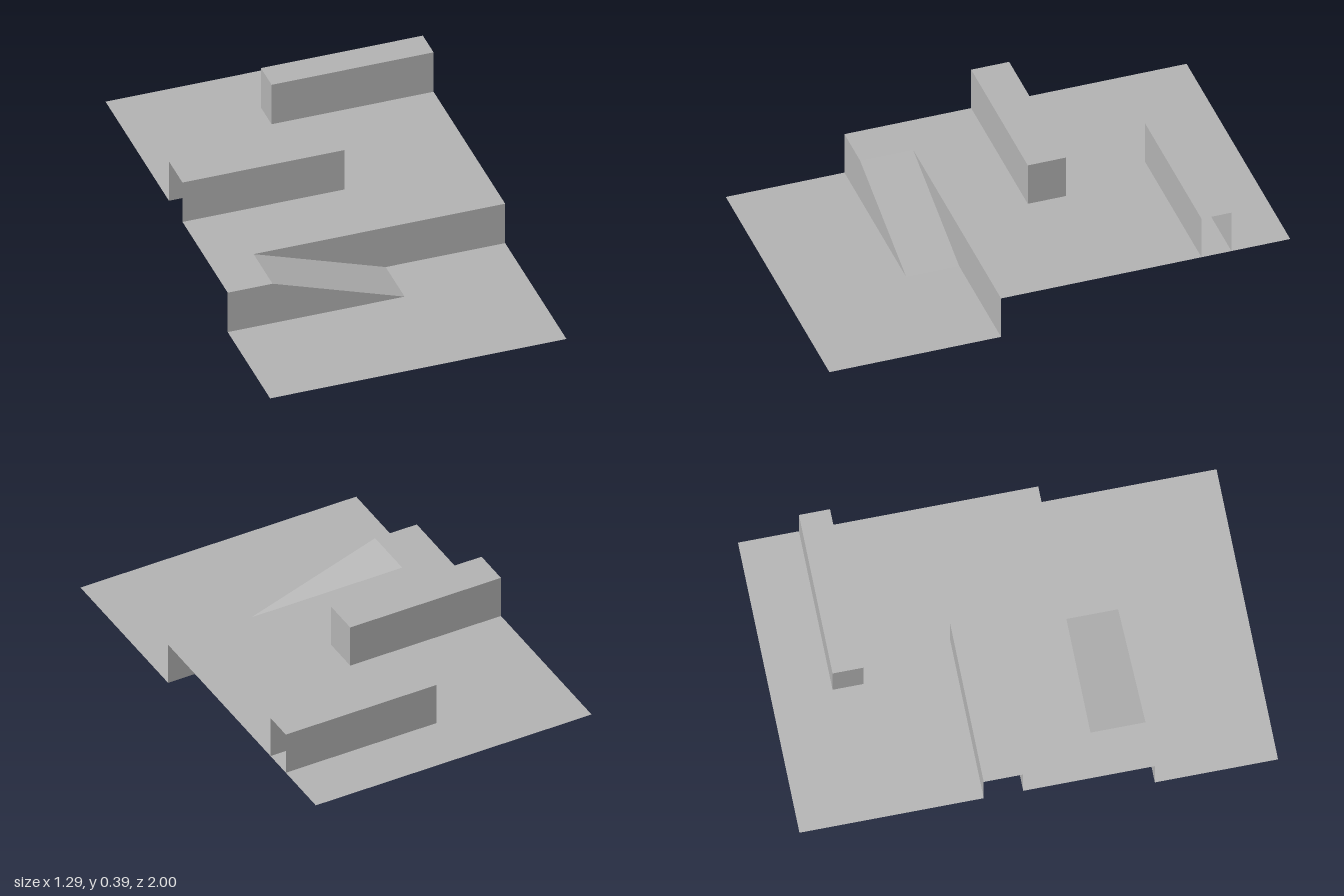
import * as THREE from 'three';

export function createModel() {
  const model = new THREE.Group();
  const grey = new THREE.MeshStandardMaterial({ color: 0xb2b2b2, side: THREE.DoubleSide });
  grey.name = 'plainGrey';

  const W = 0.645, STEP = 0.195, TOP = 0.39;        // half width, upper level, barrier top
  const rampTop = -0.45, rampFoot = 0.125;          // ramp ends in x
  const back = 0.255, front = 0.485;                // ramp sides in z

  const outline = (points) => new THREE.ShapeGeometry(
    new THREE.Shape(points.map(([a, b]) => new THREE.Vector2(a, b))));
  function add(name, geometry, parent = model) {
    const mesh = new THREE.Mesh(geometry, grey);
    mesh.name = name;
    parent.add(mesh);
  }
  // horizontal sheet from [x, z] corners
  const sheet = (name, y, points, parent) => add(name,
    outline(points.map(([x, z]) => [x, -z]).reverse()).rotateX(-Math.PI / 2).translate(0, y, 0), parent);
  // upright sheet facing front from [x, y] corners
  const wall = (name, z, points, parent) => add(name, outline(points).translate(0, 0, z), parent);

  // open-bottomed barrier with one closed end, open at the sheet's edge
  function barrier(name, outerX, endX, z0, z1) {
    const group = new THREE.Group();
    group.name = name;
    model.add(group);
    const face = [[outerX, STEP], [endX, STEP], [endX, TOP], [outerX, TOP]];
    wall('barrierBack', z0, face, group);
    wall('barrierFront', z1, face, group);
    sheet('barrierTop', TOP, [[outerX, z0], [endX, z0], [endX, z1], [outerX, z1]], group);
    const end = new THREE.PlaneGeometry(z1 - z0, TOP - STEP)
      .rotateY(Math.sign(endX - outerX) * Math.PI / 2)
      .translate(endX, (STEP + TOP) / 2, (z0 + z1) / 2);
    add('barrierEnd', end, group);
  }

  // upper floor with the slot below the middle barrier and the landing
  sheet('upperFloor', STEP, [
    [-W, -1], [W, -1], [W, back], [rampTop, back], [rampTop, front], [-W, front],
    [-W, -0.065], [0.06, -0.065], [0.06, -0.23], [-W, -0.23],
  ]);
  // lower floor
  sheet('lowerFloor', 0, [
    [-W, 1], [W, 1], [W, back], [rampFoot, back], [rampFoot, front], [-W, front],
  ]);

  // sloping ramp
  const length = Math.hypot(rampFoot - rampTop, STEP);
  add('ramp', new THREE.PlaneGeometry(length, front - back)
    .rotateX(-Math.PI / 2)
    .rotateZ(-Math.atan2(STEP, rampFoot - rampTop))
    .translate((rampTop + rampFoot) / 2, STEP / 2, (front + back) / 2));

  // retaining walls on both sides of the ramp
  wall('rampFrontWall', front, [[-W, 0], [rampFoot, 0], [rampTop, STEP], [-W, STEP]]);
  wall('rampBackWall', back, [[rampFoot, 0], [W, 0], [W, STEP], [rampTop, STEP]]);

  // raised barriers
  barrier('middleBarrier', -W, 0.06, -0.23, -0.065);
  barrier('rearBarrier', W, -0.06, -0.745, -0.615);

  return model;
}
